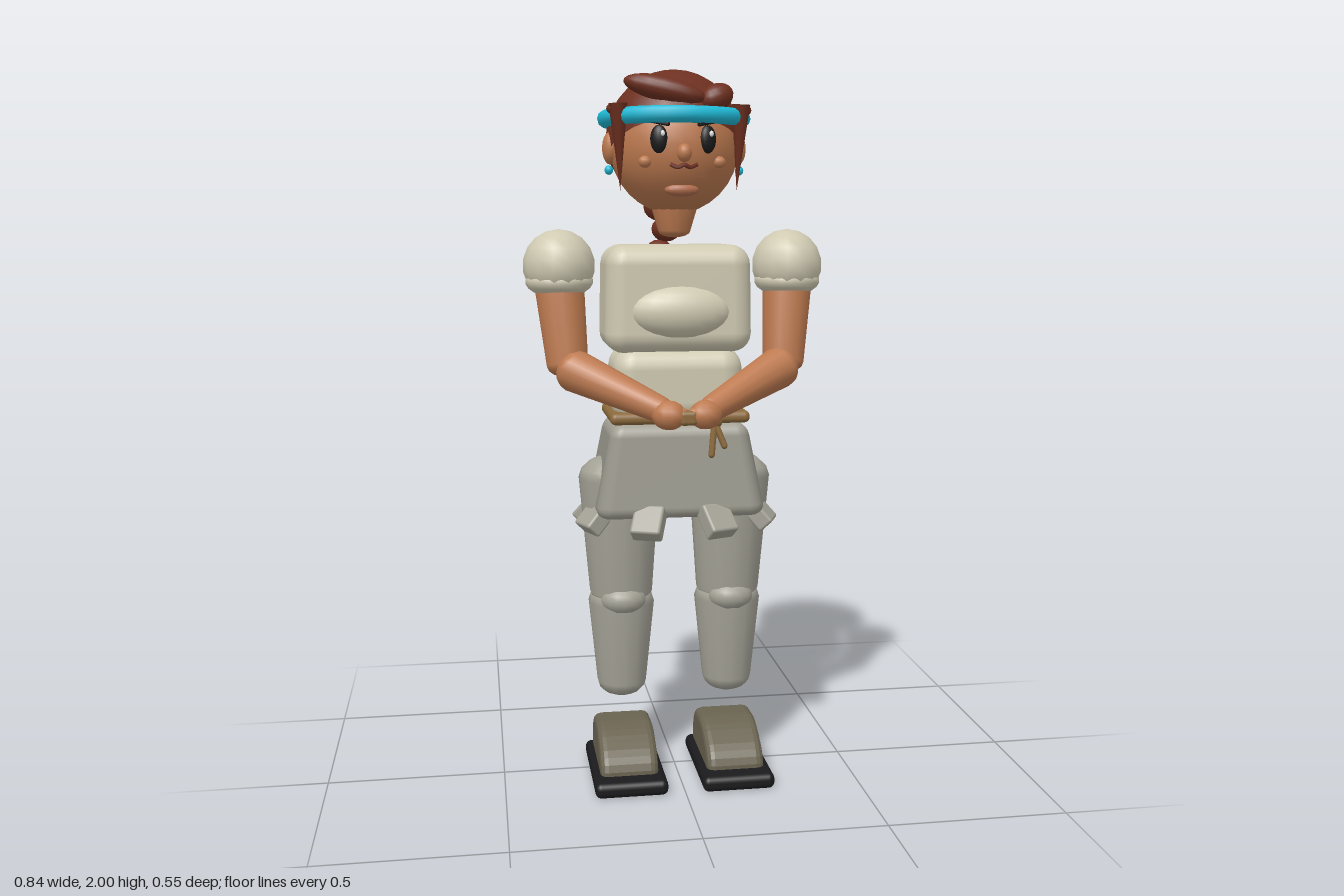
import * as THREE from 'three';
import { RoundedBoxGeometry } from 'three/addons/geometries/RoundedBoxGeometry.js';

const paint = (name, color) => {
  const m = new THREE.MeshStandardMaterial({ color });
  m.name = name;
  return m;
};

export function createModel() {
  const hair = paint('hair', 0x6e3020), cyan = paint('cyan', 0x1fb9d6), skin = paint('skin', 0xbd7a50),
    cream = paint('cream', 0xd0cab2), gray = paint('gray', 0xa4a296), shoe = paint('shoe', 0x6a6351),
    black = paint('black', 0x1b1b1d), rope = paint('rope', 0x8c6a3c), white = paint('white', 0xf4f4f4),
    lip = paint('lip', 0xb06c4c);

  const root = new THREE.Group();
  root.name = 'figure';
  const V = (x, y, z) => new THREE.Vector3(x, y, z);

  const add = (name, geo, mat, p = [0, 0, 0], r = [0, 0, 0], s = [1, 1, 1]) => {
    const m = new THREE.Mesh(geo, mat);
    m.name = name;
    m.position.set(...p);
    m.rotation.set(...r);
    m.scale.set(...s);
    root.add(m);
    return m;
  };
  const ball = (name, mat, p, s, r, seg = 16) =>
    add(name, new THREE.SphereGeometry(1, seg, Math.max(8, seg * 0.7 | 0)), mat, p, r, s);

  // Rounded box whose lower end may be wider than its upper end
  const block = (name, mat, p, [w, h, d], radius, tx = 1, tz = 1, r) => {
    const g = new RoundedBoxGeometry(w, h, d, 3, radius);
    const a = g.attributes.position;
    for (let i = 0; i < a.count; i++) {
      const t = 0.5 - a.getY(i) / h;
      a.setX(i, a.getX(i) * (1 + (tx - 1) * t));
      a.setZ(i, a.getZ(i) * (1 + (tz - 1) * t));
    }
    return add(name, g, mat, p, r);
  };

  // Tapered limb from a to b with domed ends lying inside its length
  const limb = (name, mat, a, b, ra, rb, cap = 0.8, sides = 14) => {
    const len = a.distanceTo(b), pts = [];
    for (let i = 0; i <= 4; i++) {
      const t = i / 4 * Math.PI / 2;
      pts.push(new THREE.Vector2(rb * Math.sin(t), rb * cap * (1 - Math.cos(t))));
    }
    for (let i = 4; i >= 0; i--) {
      const t = i / 4 * Math.PI / 2;
      pts.push(new THREE.Vector2(ra * Math.sin(t), len - ra * cap * (1 - Math.cos(t))));
    }
    const m = add(name, new THREE.LatheGeometry(pts, sides), mat);
    m.position.copy(b);
    m.quaternion.setFromUnitVectors(V(0, 1, 0), a.clone().sub(b).normalize());
    return m;
  };

  // Head and hair
  ball('head', skin, [0, 1.79, 0], [0.178, 0.18, 0.18], undefined, 24);
  add('hairCap', new THREE.SphereGeometry(1, 24, 16, 0, Math.PI * 2, 0, 1.8), hair,
    [0, 1.81, -0.014], [-0.5, 0, 0], [0.187, 0.19, 0.19]);
  hair.side = THREE.DoubleSide;
  add('headband', new THREE.TorusGeometry(0.189, 0.023, 10, 28), cyan, [0, 1.867, -0.01], [Math.PI / 2, 0, 0]);
  ball('fringe', hair, [-0.045, 1.935, 0.125], [0.112, 0.034, 0.04], [0, -0.22, -0.22]);
  ball('fringeSmall', hair, [0.095, 1.915, 0.125], [0.05, 0.036, 0.038], [0, 0.4, 0.4]);

  // Face centre
  ball('nose', skin, [0, 1.767, 0.18], [0.02, 0.024, 0.022]);
  ball('chin', lip, [0, 1.672, 0.132], [0.047, 0.018, 0.02]);
  const mouth = new THREE.CatmullRomCurve3([[-0.036, 1.738, 0.17], [-0.016, 1.73, 0.174], [0, 1.737, 0.176],
    [0.016, 1.73, 0.174], [0.036, 1.738, 0.17]].map(p => V(...p)));
  add('mouth', new THREE.TubeGeometry(mouth, 12, 0.006, 6), hair);

  // Braid
  add('braidTie', new THREE.TorusGeometry(0.05, 0.014, 8, 18), cyan, [0, 1.725, -0.185], [-0.33, 0, 0]);
  for (let i = 0; i < 6; i++) {
    const r = 0.05 - i * 0.004;
    ball('braidBead', hair, [(i % 2 ? -1 : 1) * 0.01, 1.695 - i * 0.064, -0.21 - i * 0.006],
      [r * 1.05, r * 0.88, r], undefined, 12);
  }
  add('braidTip', new THREE.ConeGeometry(0.026, 0.085, 8), hair, [0, 1.288, -0.25], [Math.PI, 0, 0]);

  // Neck, torso and waist
  limb('neck', skin, V(0, 1.66, 0), V(0, 1.545, 0), 0.066, 0.045, 0.4);
  block('torso', cream, [0, 1.378, 0], [0.4, 0.296, 0.25], 0.055, 1.03, 1);
  ball('chest', cream, [0, 1.345, 0.1], [0.145, 0.075, 0.066], undefined, 20);
  block('waist', cream, [0, 1.14, 0], [0.36, 0.21, 0.235], 0.06, 1.04, 1.03);

  // Belt with hanging cord
  block('belt', rope, [0, 1.053, 0], [0.39, 0.034, 0.262], 0.016);
  ball('beltKnot', rope, [0.09, 1.045, 0.14], [0.024, 0.02, 0.02]);
  limb('cordEnd', rope, V(0.09, 1.045, 0.145), V(0.08, 0.945, 0.155), 0.009, 0.009, 1, 8);
  limb('cordEnd', rope, V(0.09, 1.045, 0.145), V(0.12, 0.97, 0.155), 0.009, 0.009, 1, 8);
  block('heldCord', rope, [0, 1.072, 0.245], [0.05, 0.04, 0.04], 0.012);

  // Skirt with a ring of hem flaps
  block('skirt', gray, [0, 0.905, 0], [0.38, 0.262, 0.262], 0.035, 1.27, 1.24);
  for (let i = 0; i < 8; i++) {
    const a = (i + 0.5) * Math.PI / 4;
    const flap = block('hemFlap', gray, [0.252 * Math.sin(a), 0.77, 0.18 * Math.cos(a)], [0.085, 0.09, 0.05], 0.008);
    flap.rotation.set(-0.75, a, 0, 'YXZ');
  }

  // Shoe outline seen from the side, extruded across its width
  const side = new THREE.Shape();
  side.moveTo(-0.08, 0.04);
  side.lineTo(0.16, 0.04);
  side.quadraticCurveTo(0.165, 0.075, 0.11, 0.105);
  side.quadraticCurveTo(0.06, 0.138, 0.02, 0.135);
  side.lineTo(-0.04, 0.132);
  side.quadraticCurveTo(-0.085, 0.12, -0.08, 0.04);
  const shoeGeo = new THREE.ExtrudeGeometry(side, { depth: 0.12, curveSegments: 5,
    bevelSize: 0.02, bevelThickness: 0.022, bevelSegments: 3 });
  shoeGeo.translate(0, 0, -0.06);

  for (const s of [-1, 1]) {
    // Face sides
    ball('eye', black, [s * 0.065, 1.803, 0.162], [0.024, 0.037, 0.016], [0, s * 0.35, 0]);
    ball('eyeGlint', white, [s * 0.065 + 0.008, 1.817, 0.176], [0.006, 0.008, 0.005], undefined, 8);
    block('eyebrow', black, [s * 0.066, 1.847, 0.162], [0.06, 0.012, 0.016], 0.004, 1, 1, [0, s * 0.35, s * 0.2]);
    ball('cheek', skin, [s * 0.1, 1.745, 0.143], [0.018, 0.016, 0.016], undefined, 12);
    ball('ear', skin, [s * 0.178, 1.787, 0.002], [0.022, 0.044, 0.034]);
    ball('earring', cyan, [s * 0.182, 1.728, 0.005], [0.012, 0.013, 0.012], undefined, 10);
    const lock = add('sideLock', new THREE.ConeGeometry(0.034, 0.23, 8), hair, [s * 0.163, 1.785, 0.093],
      [Math.PI + 0.08, 0, 0], [0.75, 1, 1]);
    lock.rotation.z = s * 0.03;
    ball('lockRoot', hair, [s * 0.175, 1.885, 0.092], [0.022, 0.016, 0.022], undefined, 10);

    // Sleeve and arm
    ball('sleeve', cream, [s * 0.322, 1.468, 0], [0.1, 0.1, 0.105], undefined, 14);
    ball('cuff', cream, [s * 0.322, 1.425, 0.004], [0.094, 0.045, 0.092], undefined, 16);
    limb('upperArm', skin, V(s * 0.325, 1.45, 0), V(s * 0.302, 1.165, 0.05), 0.069, 0.058, 0.6);
    limb('forearm', skin, V(s * 0.325, 1.2, 0.05), V(s * 0.045, 1.08, 0.225), 0.059, 0.036, 0.8);
    ball('hand', skin, [s * 0.05, 1.078, 0.232], [0.048, 0.04, 0.042], [0, s * 0.5, 0], 12);
    ball('thumb', skin, [s * 0.02, 1.085, 0.245], [0.022, 0.015, 0.016], undefined, 10);

    // Leg
    limb('thigh', gray, V(s * 0.16, 0.94, 0), V(s * 0.155, 0.485, 0), 0.116, 0.09, 0.6);
    ball('knee', gray, [s * 0.155, 0.525, 0.052], [0.066, 0.045, 0.055]);
    limb('shin', gray, V(s * 0.155, 0.57, 0), V(s * 0.155, 0.225, 0), 0.095, 0.071, 0.65);

    // Foot
    add('shoe', shoeGeo, shoe, [s * 0.152, 0, 0], [0, -Math.PI / 2, 0]);
    block('sole', black, [s * 0.152, 0.025, 0.062], [0.205, 0.044, 0.345], 0.018);
  }
  return root;
}
